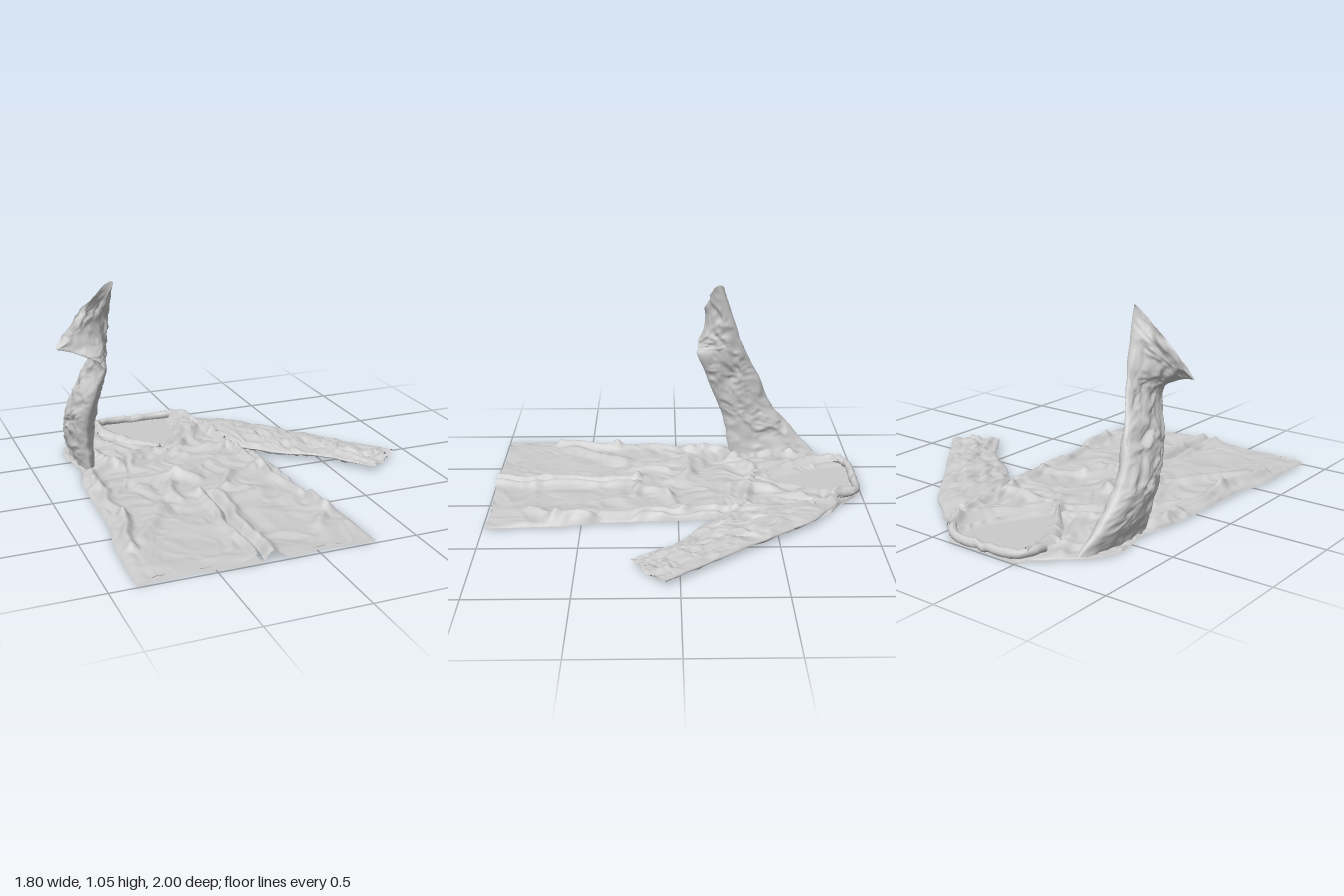
import * as THREE from 'three';

const V = (x, y, z) => new THREE.Vector3(x, y, z);
const clamp = THREE.MathUtils.clamp, lerp = THREE.MathUtils.lerp, smooth = THREE.MathUtils.smoothstep;
const cloth = new THREE.MeshStandardMaterial({ color: 0xcccccc, side: THREE.DoubleSide });

// Seeded value noise, used for the crumpled cloth
function hash(i, j) {
  const s = Math.sin(i * 127.1 + j * 311.7 + 5.3) * 43758.5453;
  return s - Math.floor(s);
}
function noise(x, y) {
  const i = Math.floor(x), j = Math.floor(y);
  const a = (x - i) ** 2 * (3 - 2 * (x - i)), b = (y - j) ** 2 * (3 - 2 * (y - j));
  return lerp(lerp(hash(i, j), hash(i + 1, j), a), lerp(hash(i, j + 1), hash(i + 1, j + 1), a), b) * 2 - 1;
}
// Sharp creases: ridged noise with a warped domain, range about -0.5..0.5
function crumple(x, y) {
  const wx = x + 0.6 * noise(y * 1.3, x), wy = y + 0.6 * noise(x * 1.1 + 9, y);
  return 0.6 * (0.5 - Math.abs(noise(wx, wy)) * 1.3) + 0.3 * (0.5 - Math.abs(noise(wx * 2.3 + 4, wy * 2.3)) * 1.3);
}

// Interpolate a value from a table of [key, value]
function table(rows, k) {
  if (k <= rows[0][0]) return rows[0][1];
  for (let i = 1; i < rows.length; i++) {
    const [k0, v0] = rows[i - 1], [k1, v1] = rows[i];
    if (k <= k1) return lerp(v0, v1, (k - k0) / (k1 - k0));
  }
  return rows[rows.length - 1][1];
}

// Surface from a function of (u, v) over a regular grid
function sheet(name, nu, nv, fn) {
  const pos = [], idx = [];
  for (let j = 0; j <= nv; j++) for (let i = 0; i <= nu; i++) pos.push(...fn(i / nu, j / nv).toArray());
  for (let j = 0; j < nv; j++) for (let i = 0; i < nu; i++) {
    const a = j * (nu + 1) + i, b = a + nu + 1;
    idx.push(a, b, a + 1, a + 1, b, b + 1);
  }
  const g = new THREE.BufferGeometry();
  g.setAttribute('position', new THREE.Float32BufferAttribute(pos, 3));
  g.setIndex(idx);
  g.computeVertexNormals();
  const m = new THREE.Mesh(g, cloth);
  m.name = name;
  return m;
}

// Flattened sleeve through sections [edge A, edge B, half thickness]
function sleeve(name, sections, floor, amount) {
  const curve = f => new THREE.CatmullRomCurve3(sections.map(f));
  const ca = curve(s => s[0]), cb = curve(s => s[1]), ct = curve(s => s[2]);
  return sheet(name, 64, 110, (s, t) => {
    const k = t * (sections.length - 1), th = s * Math.PI * 2;
    const a = ca.getPoint(t), b = cb.getPoint(t), w = ct.getPoint(t);
    const c = a.clone().add(b).multiplyScalar(0.5), u = a.sub(b).multiplyScalar(0.5);
    const n = crumple(Math.cos(th) * 2.4 + (Math.sin(th) > 0 ? 0 : 20), k * 1.7) * amount;
    const p = c.addScaledVector(u, Math.cos(th) * (1 + 0.03 * noise(k * 4, Math.cos(th))))
      .addScaledVector(w, Math.sin(th))
      .addScaledVector(w.clone().normalize(), n * Math.sin(th));
    p.y = Math.max(p.y, floor);
    return p;
  });
}

// Outline of the coat body, as x against z
const edgeR = [[-0.99, -0.5], [-0.93, -0.54], [-0.85, -0.63], [-0.78, -0.71], [-0.7, -0.77], [-0.6, -0.8], [-0.45, -0.77],
  [-0.38, -0.75], [-0.2, -0.8], [0, -0.81], [0.4, -0.82], [0.6, -0.86], [0.99, -0.87]];
const edgeL = [[-0.99, -0.1], [-0.93, -0.04], [-0.86, 0.03], [-0.8, 0.14], [-0.7, 0.19], [-0.3, 0.18], [-0.1, 0.2],
  [0.2, 0.22], [0.4, 0.23], [0.6, 0.27], [0.99, 0.29]];
// Edges of the open neck
const neckR = [[-0.96, -0.51], [-0.8, -0.47], [-0.62, -0.38], [-0.44, -0.28]];
const neckL = [[-0.96, -0.07], [-0.75, -0.1], [-0.6, -0.19], [-0.44, -0.27]];

// Folds: [x1, z1, x2, z2, height, width]
const folds = [
  [-0.3, 0.2, -0.3, 0.99, 0.022, 0.022], [-0.22, 0.25, -0.22, 0.99, 0.025, 0.025], [-0.26, 0.2, -0.265, 0.99, -0.02, 0.014],
  [-0.7, -0.28, -0.36, -0.46, 0.022, 0.025], [-0.22, -0.4, 0.08, -0.36, 0.025, 0.025], [-0.27, -0.42, -0.2, -0.3, 0.02, 0.03],
  [-0.6, -0.06, -0.33, -0.08, 0.02, 0.03], [-0.33, -0.08, -0.24, 0.04, 0.022, 0.03], [-0.14, 0.2, -0.08, 0.05, 0.025, 0.03],
  [-0.08, 0.05, 0.12, -0.02, 0.02, 0.03], [-0.4, 0.05, -0.42, 0.24, 0.018, 0.025], [-0.3, 0.2, -0.05, 0.22, 0.018, 0.025],
  [0.08, -0.7, 0.1, -0.3, 0.03, 0.025], [0.1, -0.3, 0.17, 0.4, 0.028, 0.022], [0.15, -0.5, 0.2, 0.2, 0.02, 0.02],
  [-0.74, -0.25, -0.75, 0.35, 0.025, 0.025], [-0.75, 0.35, -0.79, 0.7, 0.035, 0.025], [-0.72, 0.62, -0.55, 0.3, 0.022, 0.04],
  [0.2, 0.45, 0.22, 0.62, 0.04, 0.035], [0.1, 0.78, 0.22, 0.64, 0.02, 0.03], [-0.18, 0.3, 0, 0.28, 0.014, 0.05],
  [-0.7, -0.7, -0.58, -0.3, 0.025, 0.025], [-0.6, -0.8, -0.45, -0.45, 0.018, 0.03], [0, -0.72, -0.18, -0.45, 0.02, 0.03],
  [0.0, -0.85, 0.1, -0.78, 0.02, 0.03],
];
function foldHeight(x, z) {
  let h = 0;
  const px = x + 0.02 * noise(z * 7, 3), pz = z + 0.02 * noise(x * 7, 8);
  for (const [x1, z1, x2, z2, a, w] of folds) {
    const dx = x2 - x1, dz = z2 - z1;
    const t = clamp(((px - x1) * dx + (pz - z1) * dz) / (dx * dx + dz * dz), 0, 1);
    const d = Math.hypot(px - x1 - t * dx, pz - z1 - t * dz);
    h += a * Math.exp(-((d / w) ** 2));
  }
  return h;
}

// Height of the front cloth
function frontHeight(x, z) {
  const l = table(edgeR, z), r = table(edgeL, z);
  const d = clamp(Math.min(x - l, r - x) / 0.05, 0, 1);
  const rough = lerp(0.032, 0.016, smooth(z, -0.2, 0.4));
  let h = 0.034 + foldHeight(x, z) + rough * crumple(x * 7, z * 6) + 0.006 * noise(x * 4, z * 4);
  const inside = Math.min(x - table(neckR, z), table(neckL, z) - x);
  const neck = smooth(inside, -0.015, 0.02) * (z < -0.44 ? 1 : 0);
  h = lerp(h, 0.022, neck);
  return Math.max(0.016, 0.018 + (h - 0.018) * Math.sqrt(1 - (1 - d) ** 2));
}

export function createModel() {
  const model = new THREE.Group();
  model.name = 'coat';
  const hem = x => 0.985 + 0.012 * Math.cos((x + 0.29) * 9);
  const zAt = v => lerp(-0.99, 0.99, v);

  // Front of the coat
  model.add(sheet('coatFront', 130, 190, (u, v) => {
    const z = zAt(v), x = lerp(table(edgeR, z), table(edgeL, z), u);
    return V(x, frontHeight(x, z), v === 1 ? hem(x) : z);
  }));

  // Back of the coat, two panels parted by a vent below the waist
  for (const side of [-1, 1]) {
    model.add(sheet(side < 0 ? 'backPanelRight' : 'backPanelLeft', 24, 60, (u, v) => {
      const z = zAt(v), gap = 0.065 * smooth(z, 0.2, 1.05);
      const mid = -0.22 + side * gap;
      const x = side < 0 ? lerp(mid, table(edgeR, z), u) : lerp(table(edgeL, z), mid, u);
      return V(x, 0.013 + 0.003 * noise(x * 9, z * 9), v === 1 ? hem(x) : z);
    }));
  }

  // Lapels folded out on both sides of the neck
  const lapel = (name, inner, outer) => model.add(sheet(name, 14, 50, (u, v) => {
    const z = lerp(-0.95, -0.43, v);
    const x = lerp(table(inner, z), table(outer, z), u);
    const y = Math.max(frontHeight(x, z), 0.04) + 0.012 + 0.03 * Math.sin(Math.PI * u) * (1 - v * 0.6)
      + 0.015 * crumple(x * 8, z * 7);
    return V(x, lerp(y, 0.045, u < 0.5 ? (1 - 2 * u) * 0.7 : 0), z);
  }));
  lapel('lapelRight', neckR, [[-0.95, -0.54], [-0.75, -0.56], [-0.6, -0.46], [-0.43, -0.3]]);
  lapel('lapelLeft', neckL, [[-0.95, -0.04], [-0.83, 0.03], [-0.68, -0.02], [-0.43, -0.23]]);

  // Collar rolled round the back of the neck
  const collarPath = new THREE.CatmullRomCurve3([V(-0.54, 0.05, -0.84), V(-0.53, 0.055, -0.92), V(-0.47, 0.045, -0.97),
    V(-0.29, 0.035, -0.978), V(-0.12, 0.045, -0.97), V(-0.05, 0.06, -0.92), V(0.0, 0.07, -0.84)]);
  const collar = new THREE.Mesh(new THREE.TubeGeometry(collarPath, 80, 0.022, 12), cloth);
  collar.name = 'collar';
  const cp = collar.geometry.attributes.position;
  for (let i = 0; i < cp.count; i++) {
    const x = cp.getX(i), z = cp.getZ(i);
    cp.setY(i, Math.max(0.012, cp.getY(i) + 0.02 * crumple(x * 9, z * 9)));
  }
  collar.geometry.computeVertexNormals();
  model.add(collar);

  // Left sleeve lying flat, from shoulder to cuff
  const flat = (ax, az, bx, bz, t) => [V(bx, 0.04, bz), V(ax, 0.04, az), V(0, t, 0)];
  model.add(sleeve('leftSleeve', [
    flat(0.05, -0.85, 0.1, -0.32, 0.025), flat(0.25, -0.71, 0.18, -0.25, 0.03), flat(0.38, -0.56, 0.29, -0.14, 0.028),
    flat(0.5, -0.41, 0.4, -0.07, 0.026), flat(0.64, -0.24, 0.51, 0.01, 0.025), flat(0.77, -0.08, 0.59, 0.11, 0.022),
    flat(0.895, 0.07, 0.68, 0.235, 0.015)], 0.012, 0.04));

  // Right sleeve standing up, twisting towards its open cuff
  model.add(sleeve('rightSleeve', [
    [V(-0.72, 0.03, -0.31), V(-0.7, 0.03, -0.81), V(-0.05, 0, 0)],
    [V(-0.74, 0.2, -0.28), V(-0.74, 0.18, -0.67), V(-0.06, 0, 0)],
    [V(-0.74, 0.34, -0.235), V(-0.74, 0.32, -0.55), V(-0.065, 0, 0)],
    [V(-0.71, 0.5, -0.175), V(-0.71, 0.5, -0.475), V(-0.05, 0, 0)],
    [V(-0.675, 0.65, -0.12), V(-0.66, 0.66, -0.395), V(-0.032, 0, 0.005)],
    [V(-0.76, 0.71, -0.14), V(-0.62, 0.84, -0.325), V(-0.04, 0, -0.03)],
    [V(-0.895, 0.75, -0.2), V(-0.59, 1.06, -0.24), V(-0.02, 0, -0.045)]], 0.012, 0.035));

  return model;
}
